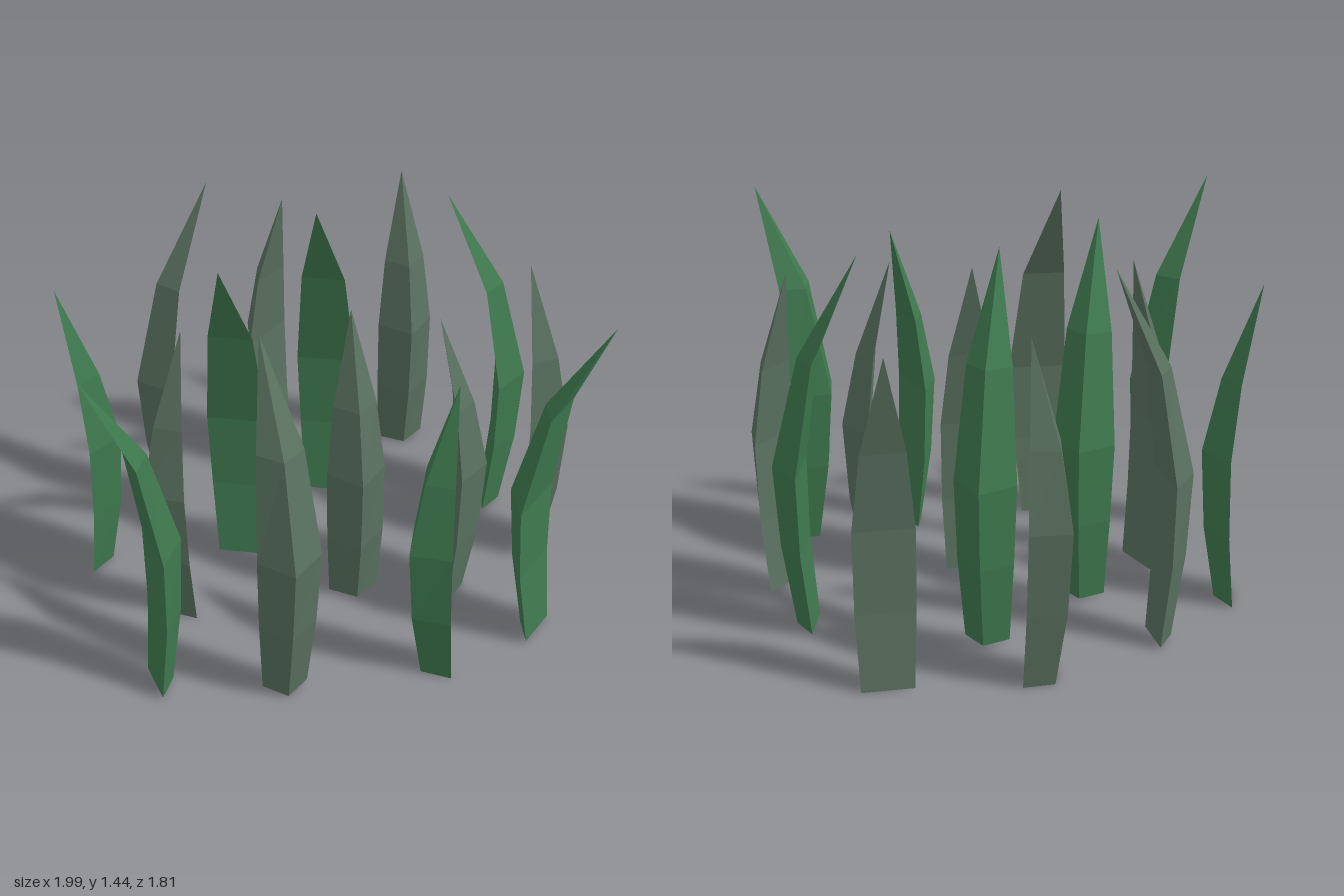
import * as THREE from 'three';

// Rows from root to tip: [height, flat face offset, ridge offset, half width, sideways shift].
// Local +x is the direction the tip curls towards, local z runs across the blade.
const TALL = [
  [0.01, 0.035, -0.035, 0.083, 0],
  [0.33, 0.005, -0.085, 0.104, 0],
  [0.64, 0, -0.105, 0.115, 0],
  [1.06, 0.065, 0.0, 0.083, 0],
  [1.44, 0.222, 0.222, 0, 0],
];
const TWIST_SHIFT = [-0.02, -0.01, 0, -0.012, -0.046];
const TWISTED = TALL.map((row, i) => [...row.slice(0, 4), TWIST_SHIFT[i]]);
const SHORT = [
  [0.0, 0.033, -0.035, 0.095, 0],
  [0.29, 0.008, -0.085, 0.108, 0],
  [0.6, 0, -0.105, 0.11, 0],
  [0.89, 0.025, -0.045, 0.08, 0],
  [1.255, 0.09, 0.09, 0, 0],
];

// Triangular sections joined into a faceted blade with a pointed tip
function bladeGeometry(rows) {
  const positions = [], index = [];
  for (const [y, flat, ridge, half, shift] of rows) {
    positions.push(flat, y, shift + half, flat, y, shift - half, ridge, y, shift);
  }
  index.push(2, 1, 0);
  const last = rows.length - 2;
  for (let r = 0; r <= last; r++) {
    for (let k = 0; k < 3; k++) {
      const a = r * 3 + k, b = r * 3 + (k + 1) % 3;
      index.push(a, b, b + 3);
      if (r < last) index.push(a, b + 3, a + 3);
    }
  }
  const geometry = new THREE.BufferGeometry();
  geometry.setAttribute('position', new THREE.Float32BufferAttribute(positions, 3));
  geometry.setIndex(index);
  const faceted = geometry.toNonIndexed();
  faceted.computeVertexNormals();
  return faceted;
}

export function createModel() {
  const group = new THREE.Group();
  group.name = 'grassPatch';
  const green = new THREE.MeshStandardMaterial({ color: 0x3f7a4f, flatShading: true });
  const grey = new THREE.MeshStandardMaterial({ color: 0x5a7260, flatShading: true });
  const tall = bladeGeometry(TALL);
  const twisted = bladeGeometry(TWISTED);
  const short = bladeGeometry(SHORT);

  // Each blade: name, shape, material, back ridge x and z, tip x and z, lift
  const blades = [
    ['tallBlade', tall, green, -0.11, -0.56, -0.11, -0.23],
    ['tallBlade', tall, green, -0.385, -0.12, -0.385, 0.21],
    ['tallBlade', tall, green, 0.67, -0.48, 0.34, -0.435],
    ['twistedBlade', twisted, green, 0.67, 0.25, 0.995, 0.35],
    ['twistedBlade', twisted, green, -0.45, 0.69, -0.7, 0.9],
    ['twistedBlade', twisted, grey, -0.02, 0.835, -0.185, 0.54],
    ['twistedBlade', twisted, grey, -0.815, -0.205, -0.545, -0.4],
    ['shortBlade', short, green, -0.81, 0.1, -1.0, 0.125],
    ['shortBlade', short, green, 0.345, 0.62, 0.49, 0.48],
    ['shortBlade', short, grey, -0.475, -0.72, -0.305, -0.625],
    ['shortBlade', short, grey, 0.2, -0.73, 0.125, -0.905],
    ['shortBlade', short, grey, 0.855, -0.17, 0.675, -0.235, 0.035],
    ['shortBlade', short, grey, 0.57, 0.06, 0.38, 0.1],
    ['shortBlade', short, grey, 0.135, 0.27, 0.065, 0.095],
    ['shortBlade', short, grey, -0.645, 0.44, -0.5, 0.3],
  ];
  blades.forEach(([name, geometry, material, rx, rz, tx, tz, lift = 0], i) => {
    const heading = Math.atan2(tz - rz, tx - rx) + (geometry === twisted ? 0.14 : 0);
    const mesh = new THREE.Mesh(geometry, material);
    mesh.name = name + (i + 1);
    mesh.position.set(rx + 0.105 * Math.cos(heading), lift, rz + 0.105 * Math.sin(heading));
    mesh.rotation.y = -heading;
    group.add(mesh);
  });
  return group;
}
